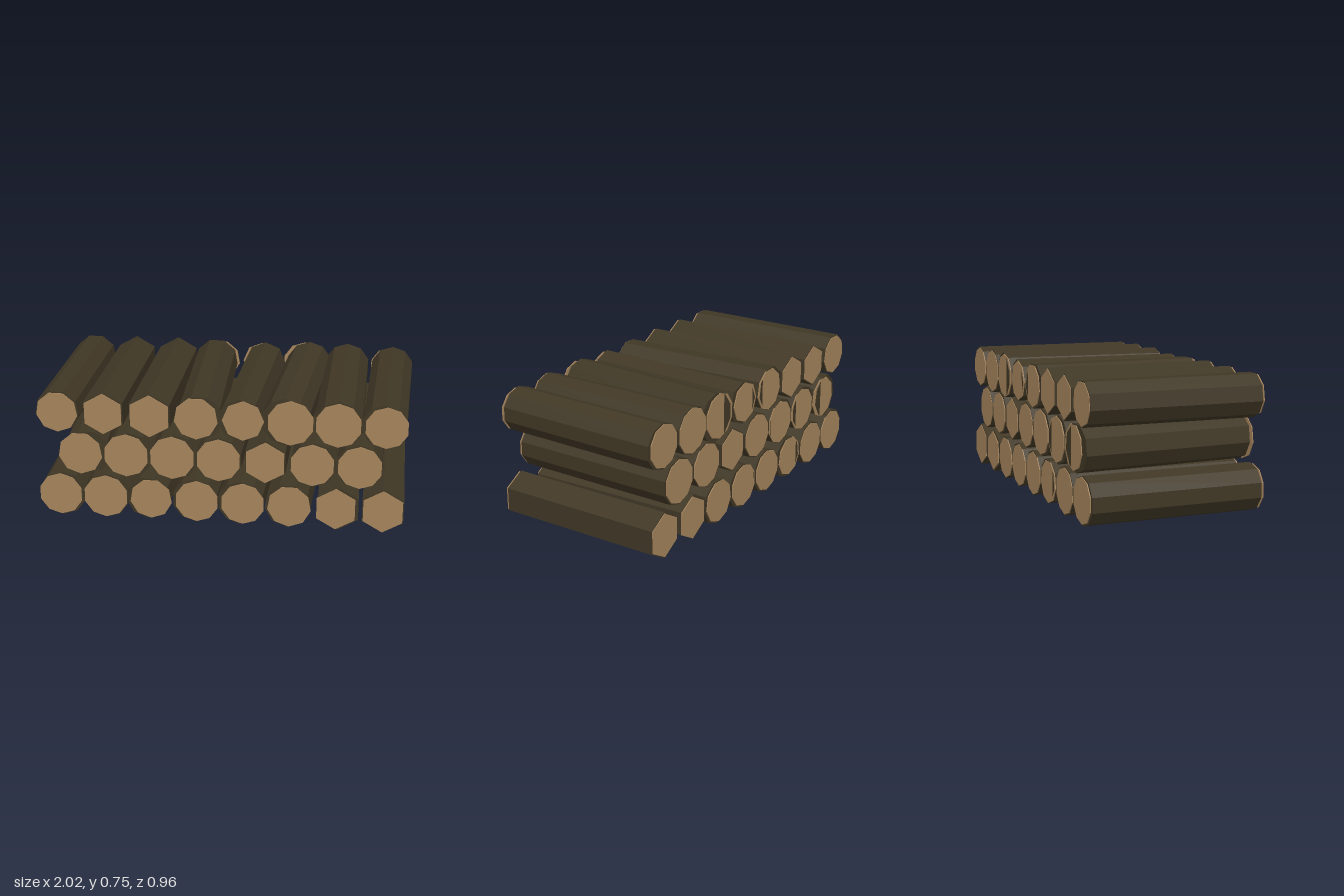
import * as THREE from 'three';

// Each log: [sides, radius, sideways shift of its back end]
const ROWS = [
  { name: 'bottomRow', y: 0.13, x0: -0.88, logs: [
    [10, 0.128, -0.01], [10, 0.13, 0], [9, 0.122, 0.02], [10, 0.126, 0.01],
    [10, 0.126, 0.015], [9, 0.126, 0.01], [6, 0.126, -0.012], [6, 0.128, 0]] },
  { name: 'middleRow', y: 0.38, x0: -0.76, logs: [
    [9, 0.128, -0.035], [10, 0.13, -0.02], [10, 0.13, -0.015], [10, 0.128, 0],
    [6, 0.124, 0], [10, 0.126, -0.01], [10, 0.127, 0.005]] },
  { name: 'topRow', y: 0.615, x0: -0.88, logs: [
    [9, 0.12, 0], [6, 0.122, 0], [6, 0.126, 0], [9, 0.125, -0.02],
    [8, 0.118, 0.02], [10, 0.132, 0.03], [10, 0.13, 0], [10, 0.122, 0.012]] },
];
const SPACING = 0.252;
const LENGTH = 0.942;

// Prism lying along z
function prism(sides, radius, length) {
  return new THREE.CylinderGeometry(radius, radius, length, sides).rotateX(Math.PI / 2);
}

export function createModel() {
  const bark = new THREE.MeshStandardMaterial({ color: 0x403725, flatShading: true });
  bark.name = 'bark';
  const cutWood = new THREE.MeshStandardMaterial({ color: 0xa5845c, flatShading: true });
  cutWood.name = 'cutWood';

  const model = new THREE.Group();
  model.name = 'logPile';
  for (const row of ROWS) {
    const rowGroup = new THREE.Group();
    rowGroup.name = row.name;
    row.logs.forEach(([sides, radius, shift], i) => {
      const log = new THREE.Group();
      log.name = 'log';
      log.position.set(row.x0 + i * SPACING, row.y, 0);

      // bark-covered trunk, turned slightly in the pile
      const trunk = new THREE.Mesh(prism(sides, radius, LENGTH), bark);
      trunk.name = 'trunk';
      trunk.position.z = -0.003;
      trunk.rotation.y = -Math.asin(shift / (LENGTH / 2));
      log.add(trunk);

      // sawn faces stay square to the pile
      for (const [name, z] of [['frontCut', 0.478], ['backCut', -0.475]]) {
        const cut = new THREE.Mesh(prism(sides, radius * 0.95, 0.005), cutWood);
        cut.name = name;
        cut.position.z = z;
        log.add(cut);
      }
      rowGroup.add(log);
    });
    model.add(rowGroup);
  }
  return model;
}
